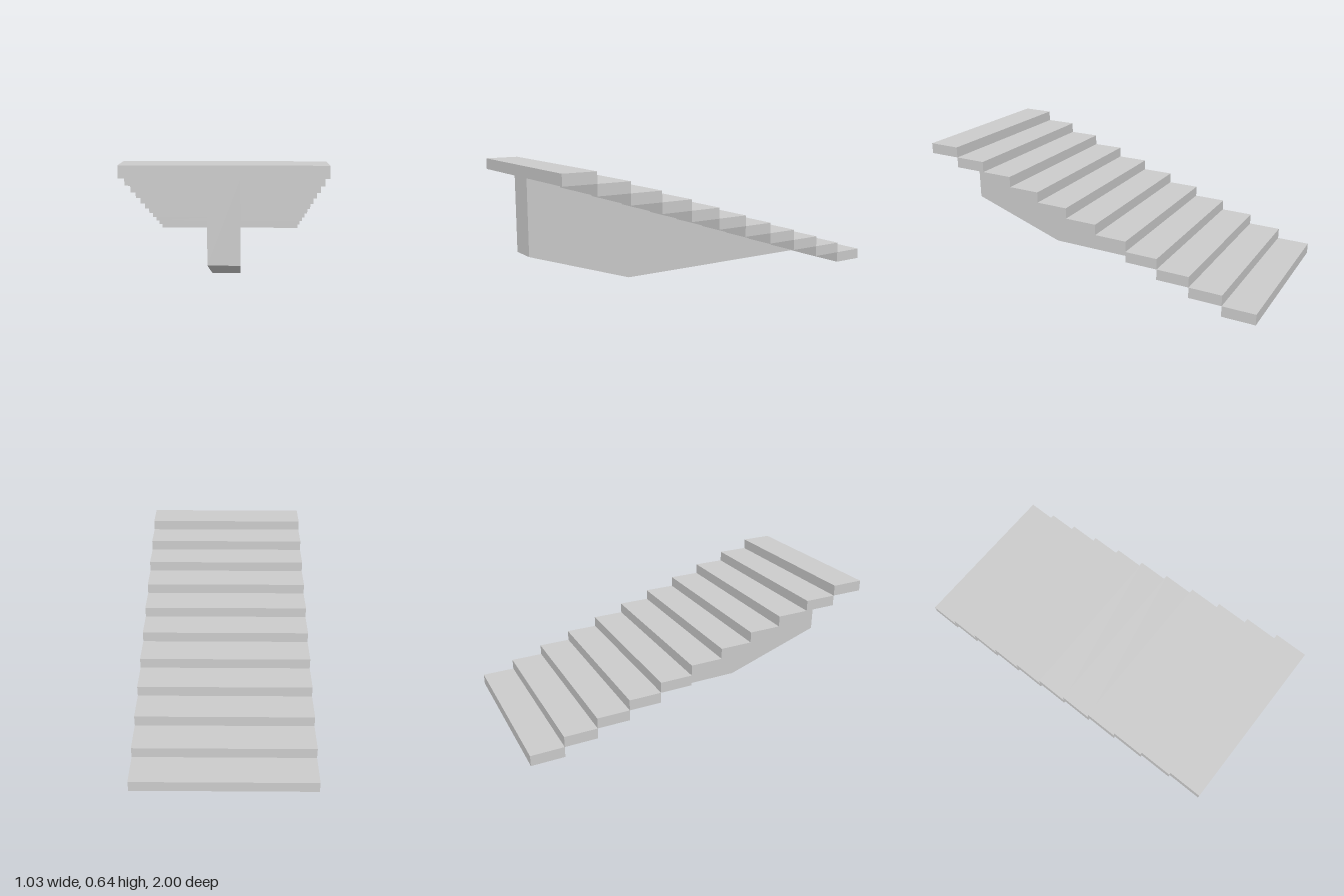
import * as THREE from 'three';

const STEPS = 11;
const WIDTH = 0.936;
const LENGTH = 1.957;
const HEIGHT = 0.64;
const STRINGER_WIDTH = 0.148;
const RUN = LENGTH / STEPS;
const RISE = HEIGHT / STEPS;

// Back edge of a tread, counted from the lowest one
const treadBack = (i) => -LENGTH / 2 + i * RUN;

export function createModel() {
  const model = new THREE.Group();
  model.name = 'staircase';
  const material = new THREE.MeshStandardMaterial({ color: 0xcccccc, flatShading: true });

  // Treads, each one riser thick, climbing towards the front
  const treads = new THREE.Group();
  treads.name = 'treads';
  const treadGeometry = new THREE.BoxGeometry(WIDTH, RISE, RUN);
  for (let i = 0; i < STEPS; i++) {
    const tread = new THREE.Mesh(treadGeometry, material);
    tread.name = `tread${i + 1}`;
    tread.position.set(0, (i + 0.5) * RISE, treadBack(i) + RUN / 2);
    treads.add(tread);
  }
  model.add(treads);

  // Central stringer: sloped underside at the front, stepped top under the treads
  const profile = new THREE.Shape();
  profile.moveTo(treadBack(1), 0);
  profile.lineTo(0.406, 0);
  profile.lineTo(LENGTH / 2, 0.188);
  for (let i = STEPS - 1; i >= 1; i--) {
    profile.lineTo(treadBack(i + 1), i * RISE);
    profile.lineTo(treadBack(i), i * RISE);
  }
  const stringerGeometry = new THREE.ExtrudeGeometry(profile, {
    depth: STRINGER_WIDTH,
    bevelEnabled: false,
  });
  stringerGeometry.translate(0, 0, -STRINGER_WIDTH / 2);
  stringerGeometry.rotateY(-Math.PI / 2);
  const stringer = new THREE.Mesh(stringerGeometry, material);
  stringer.name = 'stringer';
  model.add(stringer);

  // The whole flight is turned slightly about the vertical
  model.rotation.y = -0.0485;
  return model;
}
